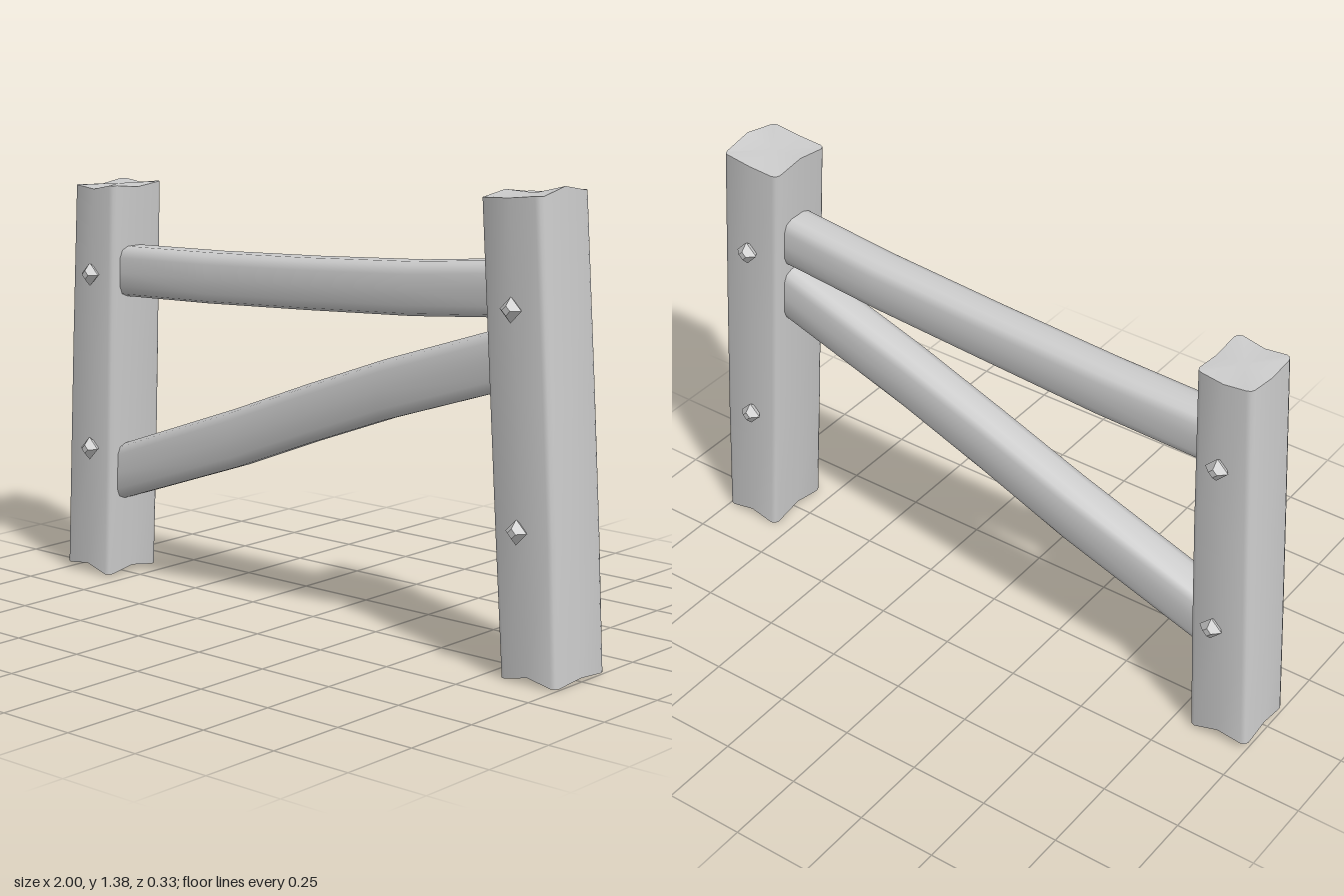
import * as THREE from 'three';
import { toCreasedNormals } from 'three/addons/utils/BufferGeometryUtils.js';

// Rounded rectangle, counter-clockwise: each side gives its middle, then a three-point corner.
function section(u0, u1, v0, v1, bevel) {
  const cu = (u0 + u1) / 2, cv = (v0 + v1) / 2, hu = (u1 - u0) / 2, hv = (v1 - v0) / 2;
  const points = [];
  const sides = [[1, 0, 1, 1], [0, 1, -1, 1], [-1, 0, -1, -1], [0, -1, 1, -1]];
  sides.forEach(([mu, mv, su, sv], side) => {
    points.push([cu + mu * hu, cv + mv * hv]);
    for (let k = 0; k < 3; k++) {
      const a = (side + k / 2) * Math.PI / 2;
      points.push([
        cu + su * (hu - bevel) + Math.cos(a) * bevel,
        cv + sv * (hv - bevel) + Math.sin(a) * bevel,
      ]);
    }
  });
  return points;
}

// Skin a list of equal rings and close both ends with a fan.
function loft(rings) {
  const n = rings[0].length, pos = rings.flat(2), index = [];
  for (let r = 0; r < rings.length - 1; r++) {
    for (let i = 0; i < n; i++) {
      const a = r * n + i, b = r * n + (i + 1) % n;
      index.push(a, b, b + n, a, b + n, a + n);
    }
  }
  [0, rings.length - 1].forEach((r, end) => {
    const centre = [0, 1, 2].map(k => rings[r].reduce((s, p) => s + p[k], 0) / n);
    const c = pos.length / 3;
    pos.push(...centre);
    for (let i = 0; i < n; i++) {
      const a = r * n + i, b = r * n + (i + 1) % n;
      if (end) index.push(c, a, b);
      else index.push(c, b, a);
    }
  });
  const geometry = new THREE.BufferGeometry();
  geometry.setAttribute('position', new THREE.Float32BufferAttribute(pos, 3));
  geometry.setIndex(index);
  return toCreasedNormals(geometry, 0.87);
}

// Post rows: [y, x0, x1, z0, z1]; end heights: eight values around the rim
// (front middle, front +x, +x middle, back +x, back middle, back -x, -x middle, front -x).
function postGeometry(rows, bottom, top) {
  return loft(rows.map(([y, x0, x1, z0, z1], r) => {
    const rim = r === 0 ? bottom : r === rows.length - 1 ? top : null;
    return section(z0, z1, x0, x1, 0.018).map(([z, x], i) => {
      const slot = Math.floor(i / 4) * 2 + (i % 4 ? 1 : 0);
      return [x, y + (rim ? rim[slot] : 0), z];
    });
  }));
}

// Rail rows: [x, yBottom, yTop, z0, z1]
function railGeometry(rows) {
  return loft(rows.map(([x, y0, y1, z0, z1]) =>
    section(y0, y1, z0, z1, 0.034).map(([y, z]) => [x, y, z])));
}

export function createModel() {
  const model = new THREE.Group();
  model.name = 'fenceSection';
  const wood = new THREE.MeshStandardMaterial({ color: 0xcccccc });
  wood.name = 'pale grey';
  const add = (name, geometry) => {
    const mesh = new THREE.Mesh(geometry, wood);
    mesh.name = name;
    model.add(mesh);
    return mesh;
  };

  // Leaning posts with roughly cut ends
  add('rightPost', postGeometry([
    [0, -1, -0.805, -0.128, 0.088],
    [0.35, -0.983, -0.79, -0.13, 0.088],
    [0.75, -0.96, -0.773, -0.128, 0.09],
    [1.26, -0.932, -0.757, -0.128, 0.088],
  ], [0.03, 0.005, 0.02, 0.005, 0.03, 0.02, 0.035, 0.02],
  [-0.005, 0.01, 0, 0.01, 0, 0.008, -0.005, 0.003]));
  add('leftPost', postGeometry([
    [0, 0.805, 1, -0.112, 0.124],
    [0.4, 0.778, 0.982, -0.108, 0.125],
    [0.8, 0.752, 0.958, -0.106, 0.125],
    [1.35, 0.716, 0.919, -0.106, 0.124],
  ], [0.02, 0.004, 0.012, 0.004, 0.02, 0, 0.02, 0.002],
  [0, 0.01, 0.03, 0.012, 0, -0.005, 0.008, -0.005]));

  // Slightly bowed rails, set into the posts
  add('upperRail', railGeometry([
    [-0.8, 0.913, 1.073, -0.07, 0.055],
    [-0.4, 0.927, 1.085, -0.074, 0.054],
    [0, 0.948, 1.105, -0.07, 0.055],
    [0.4, 0.972, 1.13, -0.068, 0.057],
    [0.78, 1.007, 1.168, -0.066, 0.058],
  ]));
  add('lowerRail', railGeometry([
    [-0.83, 0.24, 0.42, -0.07, 0.055],
    [-0.3, 0.425, 0.61, -0.074, 0.053],
    [0, 0.543, 0.725, -0.07, 0.055],
    [0.3, 0.655, 0.835, -0.068, 0.057],
    [0.79, 0.815, 0.995, -0.066, 0.058],
  ]));

  // Faceted four-sided bolt heads on the front and back of each post
  const profile = [[0.022, -0.015], [0.024, 0], [0.037, 0.016], [0.014, 0.038], [0, 0.038]]
    .map(([x, y]) => new THREE.Vector2(x, y));
  const boltGeometry = new THREE.LatheGeometry(profile, 4).toNonIndexed();
  boltGeometry.computeVertexNormals();
  const bolts = [
    [-0.85, 0.985, 0.09, -0.128],
    [-0.865, 0.42, 0.09, -0.128],
    [0.838, 1.048, 0.124, -0.106],
    [0.868, 0.433, 0.124, -0.108],
  ];
  for (const [x, y, front, back] of bolts) {
    const frontBolt = add('frontBolt', boltGeometry);
    frontBolt.position.set(x, y, front);
    frontBolt.rotation.x = Math.PI / 2;
    const backBolt = add('backBolt', boltGeometry);
    backBolt.position.set(x, y, back);
    backBolt.rotation.x = -Math.PI / 2;
  }
  return model;
}
